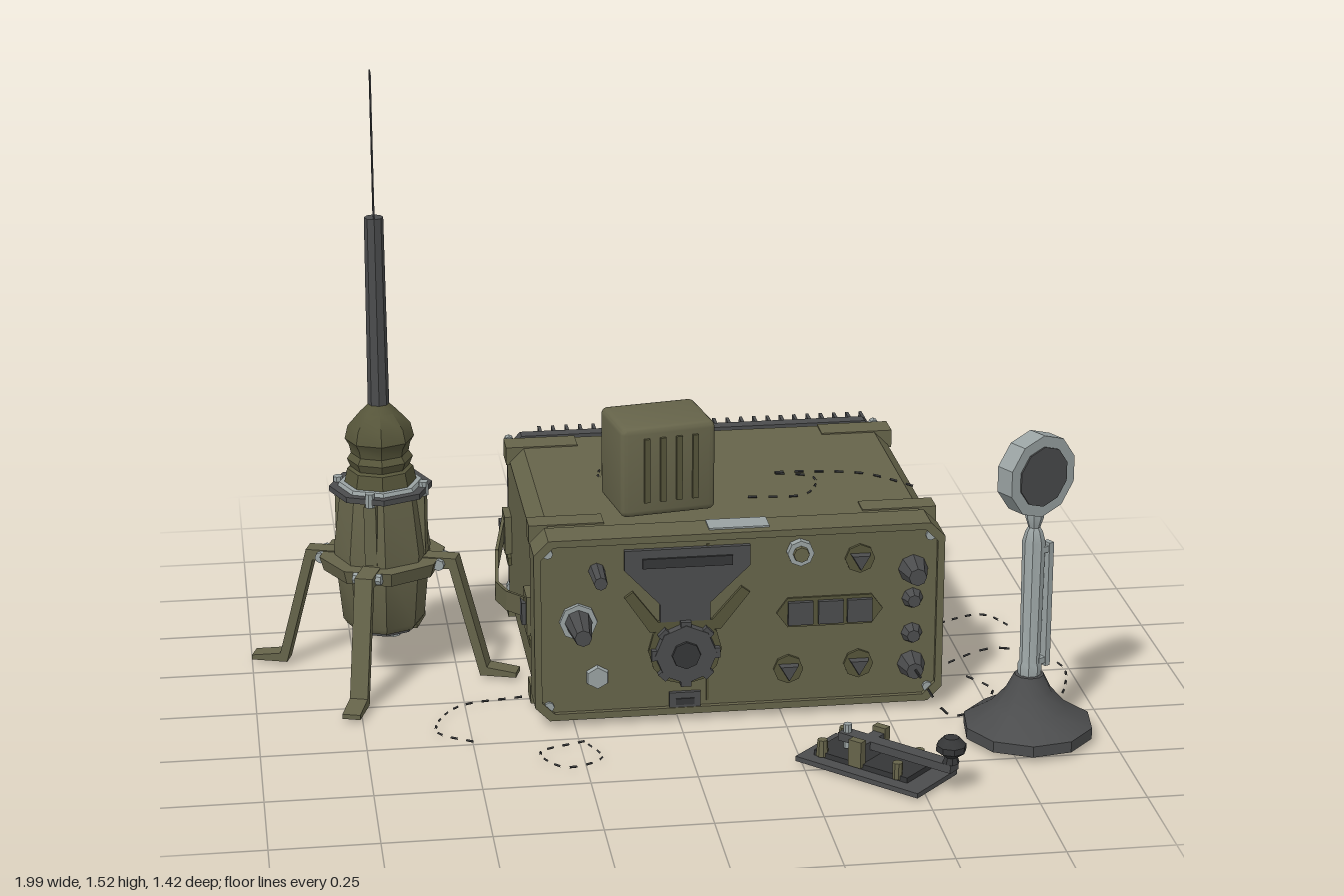
import * as THREE from 'three';
import { toCreasedNormals } from 'three/addons/utils/BufferGeometryUtils.js';
import { RoundedBoxGeometry } from 'three/addons/geometries/RoundedBoxGeometry.js';

const paint = (name, color) => Object.assign(new THREE.MeshStandardMaterial({ color }), { name });

export function createModel() {
  const root = new THREE.Group();
  root.name = 'fieldRadioSet';
  const olive = paint('olive', 0x66644a), drab = paint('darkOlive', 0x56553a);
  const dark = paint('darkGrey', 0x4b4c4d), black = paint('charcoal', 0x353637);
  const steel = paint('lightSteel', 0x9aa3a3);

  const group = (name, x = 0, y = 0, z = 0, ry = 0, parent = root) => {
    const g = new THREE.Group();
    g.name = name;
    g.position.set(x, y, z);
    g.rotation.y = ry;
    parent.add(g);
    return g;
  };
  const add = (parent, name, geo, mat, x = 0, y = 0, z = 0, rx = 0, ry = 0, rz = 0) => {
    const m = new THREE.Mesh(toCreasedNormals(geo, 0.6), mat);
    m.name = name;
    m.position.set(x, y, z);
    m.rotation.set(rx, ry, rz);
    parent.add(m);
    return m;
  };
  const box = (w, h, d) => new THREE.BoxGeometry(w, h, d);
  const cyl = (rt, rb, h, n = 8) => new THREE.CylinderGeometry(rt, rb, h, n);
  const lathe = (pts, n) => new THREE.LatheGeometry(pts.map(p => new THREE.Vector2(...p)), n);
  const poly = pts => new THREE.Shape(pts.map(p => new THREE.Vector2(...p)));
  const extrude = (shape, depth) => new THREE.ExtrudeGeometry(shape, { depth, bevelEnabled: false });
  const cornerCut = (w, h, c) => [[-w, -h + c], [-w + c, -h], [w - c, -h], [w, -h + c],
    [w, h - c], [w - c, h], [-w + c, h], [-w, h - c]];
  // Cut-cornered slab given by full sizes, running from z = 0 to depth
  const slab = (w, h, depth, c) => extrude(poly(cornerCut(w / 2, h / 2, c)), depth);

  // ---- Radio case ----
  const radio = group('radio', 0.147, 0.25, 0);
  add(radio, 'caseBody', slab(0.965, 0.45, 0.66, 0.035), olive, 0, 0, -0.55);
  const frame = poly(cornerCut(0.492, 0.229, 0.035));
  frame.holes.push(new THREE.Path(cornerCut(0.475, 0.212, 0.03).map(p => new THREE.Vector2(...p))));
  add(radio, 'frontFrame', extrude(frame, 0.09), olive, 0, 0, 0.09);
  add(radio, 'controlPanel', slab(0.955, 0.43, 0.06, 0.03), olive, 0, 0, 0.108);
  add(radio, 'topLabel', box(0.145, 0.006, 0.06), steel, 0, 0.23, 0.125);
  add(radio, 'bottomRib', box(0.4, 0.008, 0.02), drab, 0, -0.226, -0.2);
  for (const s of [-1, 1]) {
    for (const t of [-1, 1]) {
      add(radio, 'rearCornerGuard', box(0.18, 0.045, 0.07), olive, s * 0.402, t * 0.206, -0.517);
      add(radio, 'frontCornerGuard', box(0.18, 0.045, 0.06), olive, s * 0.402, t * 0.206, 0.04);
      add(radio, 'panelScrew', cyl(0.012, 0.012, 0.01), steel, s * 0.458, t * 0.195, 0.171, Math.PI / 2);
      add(radio, 'rearBolt', cyl(0.012, 0.012, 0.02), steel, s * 0.472, t * 0.2, -0.62, Math.PI / 2);
    }
    // Side strap with its two brackets and buckles
    for (const z of [0.04, -0.5]) {
      add(radio, 'strapBracket', box(0.02, 0.1, 0.075), olive, s * 0.49, 0, z);
      add(radio, 'strapBuckle', box(0.012, 0.055, 0.04), dark, s * 0.504, 0, z);
      add(radio, 'bracketRivet', box(0.012, 0.02, 0.05), drab, s * 0.486, -0.075, z);
    }
    const span = [[0.04, 0.5, 0.012], [-0.08, 0.53, -0.02], [-0.21, 0.545, -0.045], [-0.36, 0.53, -0.02], [-0.5, 0.5, 0.012]];
    for (let i = 0; i < 4; i++) {
      const a = span[i], b = span[i + 1];
      const dz = b[0] - a[0], dx = s * (b[1] - a[1]), dy = b[2] - a[2];
      const g = box(0.008, 0.05, Math.hypot(dx, dz) + 0.004);
      const p = g.attributes.position;
      for (let k = 0; k < p.count; k++) p.setY(k, p.getY(k) - Math.sign(p.getZ(k)) * dy / 2);
      add(radio, 'carryStrap', g, olive, s * (a[1] + b[1]) / 2, (a[2] + b[2]) / 2, (a[0] + b[0]) / 2,
        0, Math.atan2(dx, dz) + Math.PI);
    }
  }

  // ---- Heat sink ----
  const sink = group('heatSink', 0, 0, 0, 0, radio);
  add(sink, 'sinkNeck', slab(0.92, 0.42, 0.06, 0.04), black, 0, 0, -0.6);
  add(sink, 'sinkPlate', slab(0.955, 0.44, 0.035, 0.035), dark, 0, 0, -0.622);
  add(sink, 'sinkBlock', slab(0.9, 0.4, 0.02, 0.04), black, 0, -0.005, -0.64);
  for (let i = 0; i < 25; i++)
    add(sink, 'coolingFin', box(0.008, 0.41, 0.09), dark, -0.385 + i * 0.035, -0.005, -0.672);
  for (const [x, y] of [[-0.12, -0.05], [-0.12, 0.05], [0.157, 0]]) {
    add(sink, 'mountPad', box(0.055, 0.05, 0.06), black, x, y, -0.665);
    add(sink, 'mountBolt', cyl(0.02, 0.02, 0.012), steel, x, y, -0.7, Math.PI / 2);
  }

  // ---- Control panel parts ----
  const panel = group('panelControls', 0, 0, 0.168);
  const knob = (name, x, y, r, len, mat, n = 8, tip = 0.85) =>
    add(panel, name, cyl(r * tip, r, len, n), mat, x, y, len / 2, Math.PI / 2);
  const display = [[-0.13, 0.445], [-0.13, 0.395], [-0.045, 0.305], [-0.045, 0.26], [0.075, 0.26],
    [0.075, 0.305], [0.17, 0.395], [0.17, 0.445]].reverse();
  add(panel, 'displayPlate', extrude(poly(display), 0.012), dark);
  add(panel, 'displayWindow', box(0.215, 0.024, 0.008), black, 0.02, 0.412, 0.014);
  add(panel, 'displayChevron', extrude(poly([[-0.11, 0.34], [-0.05, 0.26], [0.08, 0.26], [0.15, 0.34],
    [0.17, 0.325], [0.1, 0.235], [-0.07, 0.235], [-0.13, 0.325]].reverse()), 0.01), drab);
  knob('dialSeat', 0.015, 0.185, 0.088, 0.01, drab, 12, 1);
  knob('tuningDial', 0.015, 0.18, 0.078, 0.028, dark, 8, 0.95);
  knob('dialCap', 0.015, 0.18, 0.04, 0.034, black);
  for (let i = 0; i < 8; i++) {
    const a = i * Math.PI / 4;
    add(panel, 'dialGrip', box(0.025, 0.025, 0.026), dark, 0.015 + 0.07 * Math.cos(a), 0.18 + 0.07 * Math.sin(a), 0.013, 0, 0, a);
  }
  add(panel, 'lowerSocket', box(0.075, 0.038, 0.012), dark, 0.015, 0.057, 0.004);
  add(panel, 'socketSlot', box(0.045, 0.016, 0.006), black, 0.015, 0.053, 0.01);
  add(panel, 'panelSeam', box(0.006, 0.4, 0.004), drab, 0.07, 0.25, 0.001);
  // Left-hand controls
  knob('socketRing', -0.24, 0.27, 0.045, 0.012, steel, 8, 1);
  knob('handsetPlug', -0.24, 0.27, 0.034, 0.11, dark, 8, 0.6);
  knob('smallPlug', -0.195, 0.395, 0.02, 0.085, dark, 8, 0.8);
  knob('steelSocket', -0.195, 0.125, 0.03, 0.012, steel, 6, 0.9);
  // Right-hand controls
  knob('lampSocket', 0.29, 0.42, 0.032, 0.02, steel, 8, 1);
  knob('lampCap', 0.29, 0.42, 0.022, 0.03, olive);
  for (const [x, y] of [[0.435, 0.395], [0.265, 0.12], [0.435, 0.125]]) {
    knob('selectorSeat', x, y, 0.036, 0.008, drab, 8, 1);
    knob('selector', x, y, 0.03, 0.025, dark, 3, 0.8);
  }
  for (const [x, y, r, l] of [[0.565, 0.36, 0.036, 0.06], [0.565, 0.285, 0.026, 0.025], [0.565, 0.195, 0.026, 0.025], [0.565, 0.115, 0.034, 0.05]])
    knob('sideKnob', x, y, r, l, dark, 8, 0.6);
  add(panel, 'buttonPlate', extrude(poly([[0.235, 0.265], [0.262, 0.228], [0.465, 0.228], [0.492, 0.265], [0.465, 0.302], [0.262, 0.302]]), 0.006), drab);
  for (const x of [0.292, 0.365, 0.435])
    add(panel, 'pushButton', box(0.06, 0.058, 0.018), dark, x, 0.265, 0.008);

  // ---- Box on top of the radio ----
  const speaker = group('topBox', -0.02, 0.592, -0.05, 0.16);
  add(speaker, 'topBoxShell', new RoundedBoxGeometry(0.235, 0.225, 0.185, 2, 0.016), olive);
  for (const x of [-0.055, -0.015, 0.025, 0.065])
    add(speaker, 'frontRib', box(0.014, 0.16, 0.012), drab, x, 0.005, 0.094);
  add(speaker, 'rearLabel', box(0.08, 0.045, 0.006), steel, 0, 0, -0.092);

  // ---- Antenna on its tripod-style base ----
  const antenna = group('antenna', -0.675, 0, -0.235);
  add(antenna, 'baseCan', lathe([[0, 0.13], [0.09, 0.13], [0.1, 0.145], [0.118, 0.33], [0.1, 0.47], [0, 0.47]], 8), olive);
  add(antenna, 'bottomPlate', cyl(0.08, 0.08, 0.012), dark, 0, 0.127, 0);
  add(antenna, 'bottomSocket', cyl(0.02, 0.02, 0.03), steel, 0.02, 0.118, 0.02);
  add(antenna, 'legCollar', cyl(0.155, 0.145, 0.035), olive, 0, 0.295, 0, 0, 0.08);
  add(antenna, 'topFlange', cyl(0.125, 0.125, 0.014), dark, 0, 0.485, 0);
  add(antenna, 'flangeRing', cyl(0.1, 0.105, 0.01), steel, 0, 0.496, 0);
  add(antenna, 'rubberBell', lathe([[0, 0.498], [0.088, 0.498], [0.08, 0.535], [0.072, 0.54], [0.08, 0.56], [0.07, 0.575],
    [0.074, 0.595], [0.084, 0.612], [0.076, 0.645], [0.045, 0.68], [0.024, 0.7], [0, 0.7]], 8), drab);
  add(antenna, 'lowerRod', cyl(0.023, 0.026, 0.48), dark, 0, 0.925, 0);
  add(antenna, 'upperBlade', box(0.003, 0.36, 0.037), dark, 0, 1.34, 0);
  const legShape = poly([[0.1, 0.285], [0.172, 0.288], [0.245, 0.012], [0.335, 0.012], [0.335, 0.024], [0.262, 0.034], [0.188, 0.315], [0.1, 0.315]]);
  for (let i = 0; i < 4; i++) {
    const arm = group('supportLeg', 0, 0, 0, -0.31 + i * Math.PI / 2, antenna);
    add(arm, 'leg', extrude(legShape, 0.044), olive, 0, 0, -0.022);
    add(arm, 'legBolt', cyl(0.014, 0.014, 0.07), steel, 0.148, 0.3, 0, Math.PI / 2);
    add(arm, 'canRib', box(0.02, 0.15, 0.03), olive, 0.102, 0.395, 0);
    add(arm, 'flangeBolt', cyl(0.012, 0.012, 0.035), steel, 0.107, 0.487, 0);
  }

  // ---- Desk microphone ----
  const mic = group('microphone', 0.805, 0, 0.38, 0.49);
  add(mic, 'micBase', lathe([[0, 0.018], [0.155, 0.018], [0.155, 0.045], [0.09, 0.085], [0.055, 0.125], [0.035, 0.165], [0, 0.17]], 10), dark);
  add(mic, 'stem', lathe([[0, 0.165], [0.028, 0.165], [0.028, 0.19], [0.024, 0.2], [0.027, 0.5], [0.02, 0.525], [0.014, 0.535], [0.022, 0.56], [0.02, 0.59], [0, 0.59]], 8), steel);
  add(mic, 'talkBar', box(0.014, 0.31, 0.022), steel, 0.034, 0.34, 0.014);
  for (const y of [0.2, 0.48]) add(mic, 'talkBarClip', box(0.03, 0.015, 0.022), steel, 0.024, y, 0.012);
  add(mic, 'head', cyl(0.1, 0.1, 0.05, 10), steel, 0, 0.666, 0, Math.PI / 2);
  add(mic, 'headGrille', cyl(0.073, 0.073, 0.008, 10), dark, 0, 0.666, 0.025, Math.PI / 2);

  // ---- Telegraph key ----
  const key = group('telegraphKey', 0.413, 0, 0.52, -Math.PI / 4);
  add(key, 'keyPlate', box(0.34, 0.012, 0.165), dark, 0, 0.016, 0);
  add(key, 'keyBed', box(0.26, 0.014, 0.1), black, -0.01, 0.028, 0);
  add(key, 'keyArm', box(0.31, 0.02, 0.035), dark, 0.06, 0.07, 0);
  add(key, 'keyPivot', box(0.03, 0.05, 0.11), dark, -0.02, 0.055, 0);
  for (const s of [-1, 1]) {
    add(key, 'pivotPost', box(0.035, 0.065, 0.02), olive, -0.02, 0.06, s * 0.05);
    add(key, 'terminal', cyl(0.012, 0.015, 0.04), olive, -0.12, 0.045, s * 0.045);
    add(key, 'keyContact', cyl(0.012, 0.012, 0.04), olive, 0.09, 0.045, s * 0.045);
  }
  add(key, 'springScrew', cyl(0.01, 0.01, 0.06), steel, -0.08, 0.07, 0);
  add(key, 'keyKnob', lathe([[0, 0.08], [0.02, 0.08], [0.015, 0.095], [0.035, 0.11], [0.035, 0.125], [0.018, 0.143], [0, 0.145]], 8), black, 0.205, 0, 0);

  // ---- Loose wires, drawn as short lengths ----
  const wires = group('looseWires');
  const wire = (pts, n) => {
    const c = new THREE.CatmullRomCurve3(pts.map(p => new THREE.Vector3(...p)));
    for (let i = 0; i < n; i++) {
      const piece = new THREE.LineCurve3(c.getPointAt(i / n), c.getPointAt((i + 0.45) / n));
      add(wires, 'wireLength', new THREE.TubeGeometry(piece, 1, 0.003, 4), black);
    }
  };
  wire([[-0.03, 0.48, -0.15], [-0.14, 0.48, -0.24], [-0.08, 0.48, -0.36], [0.08, 0.48, -0.4], [0.16, 0.48, -0.48]], 16);
  wire([[0.2, 0.48, -0.05], [0.34, 0.48, -0.05], [0.38, 0.48, -0.17], [0.28, 0.48, -0.21], [0.5, 0.48, -0.18], [0.63, 0.48, -0.05]], 16);
  wire([[-0.36, 0.01, 0.0], [-0.52, 0.01, 0.04], [-0.58, 0.01, 0.18], [-0.48, 0.01, 0.26]], 11);
  wire([[-0.24, 0.01, 0.28], [-0.35, 0.01, 0.33], [-0.3, 0.01, 0.42], [-0.21, 0.01, 0.38], [-0.24, 0.01, 0.28]], 11);
  wire([[0.7, 0.01, -0.3], [0.86, 0.01, -0.36], [0.92, 0.01, -0.26]], 7);
  wire([[0.66, 0.01, -0.03], [0.85, 0.01, -0.14], [0.98, 0.01, -0.02], [0.96, 0.01, 0.12], [0.9, 0.01, 0.24]], 12);
  wire([[0.565, 0.12, 0.22], [0.64, 0.02, 0.27], [0.78, 0.01, 0.12], [0.72, 0.01, 0.0]], 9);
  return root;
}
